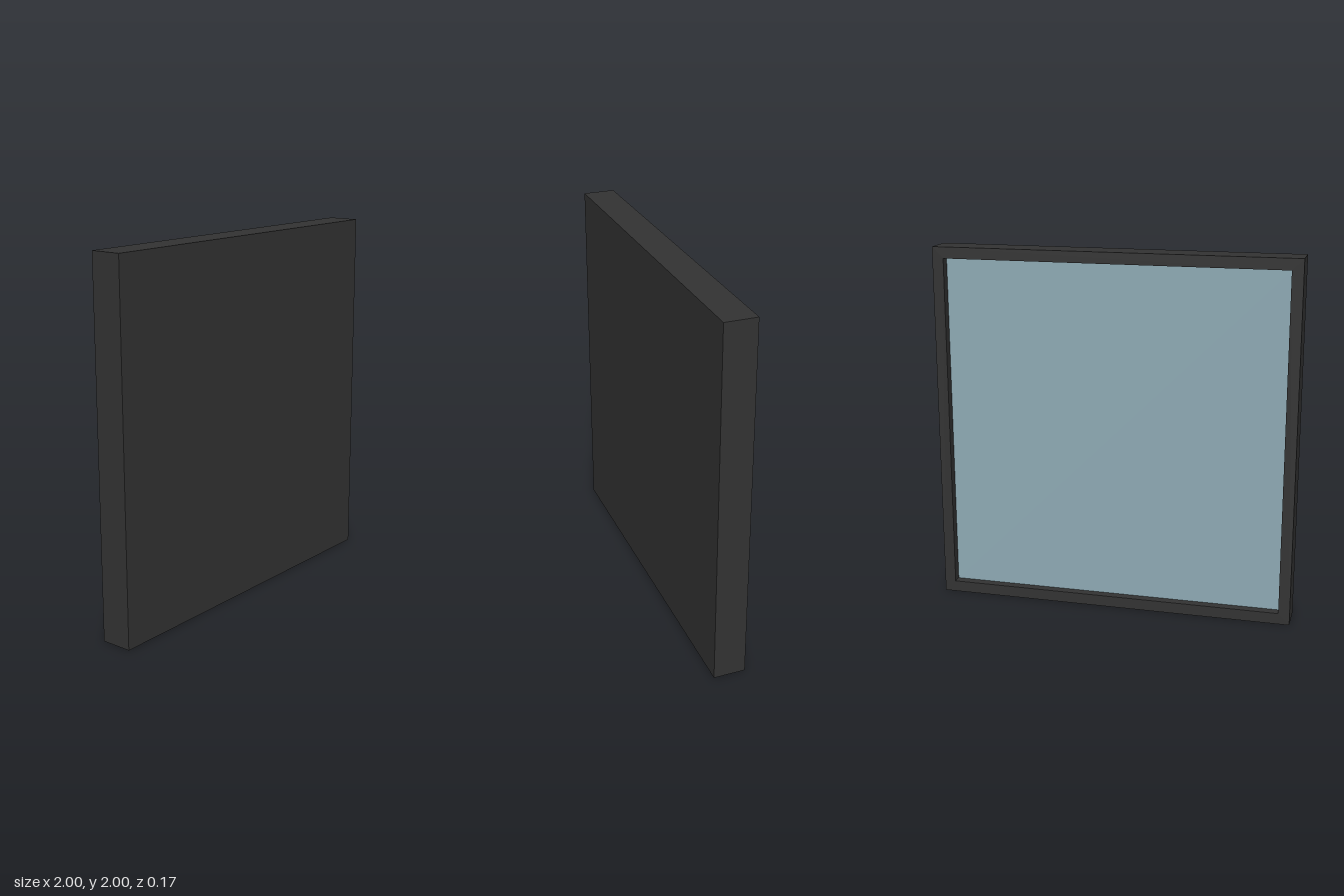
import * as THREE from 'three';

const SIZE = 2, HALF_DEPTH = 0.087, BORDER = 0.062, RECESS = 0.05, GLASS = 0.01;

export function createModel() {
  const model = new THREE.Group();
  model.name = 'framedPanel';
  const dark = new THREE.MeshStandardMaterial({ color: 0x333333 });
  const blue = new THREE.MeshStandardMaterial({ color: 0x8fabb5 });

  const add = (name, geometry, material, z) => {
    const mesh = new THREE.Mesh(geometry, material);
    mesh.name = name;
    mesh.position.set(0, SIZE / 2, z);
    model.add(mesh);
  };

  // Square outline, used for the rim and its opening
  const square = (Type, size) => {
    const h = size / 2;
    return new Type([[-h, -h], [h, -h], [h, h], [-h, h]].map(([x, y]) => new THREE.Vector2(x, y)));
  };
  const inner = SIZE - 2 * BORDER;
  const rimDepth = RECESS + GLASS;

  // Raised rim around the recessed pane, facing -z
  const rim = square(THREE.Shape, SIZE);
  rim.holes.push(square(THREE.Path, inner));
  add('rim', new THREE.ExtrudeGeometry(rim, { depth: rimDepth, bevelEnabled: false }), dark, -HALF_DEPTH);

  // Solid slab closing the +z side
  const slabDepth = 2 * HALF_DEPTH - rimDepth;
  add('slab', new THREE.BoxGeometry(SIZE, SIZE, slabDepth), dark, HALF_DEPTH - slabDepth / 2);

  // Pale pane set into the rim
  add('pane', new THREE.BoxGeometry(inner, inner, GLASS), blue, -HALF_DEPTH + RECESS + GLASS / 2);

  return model;
}
